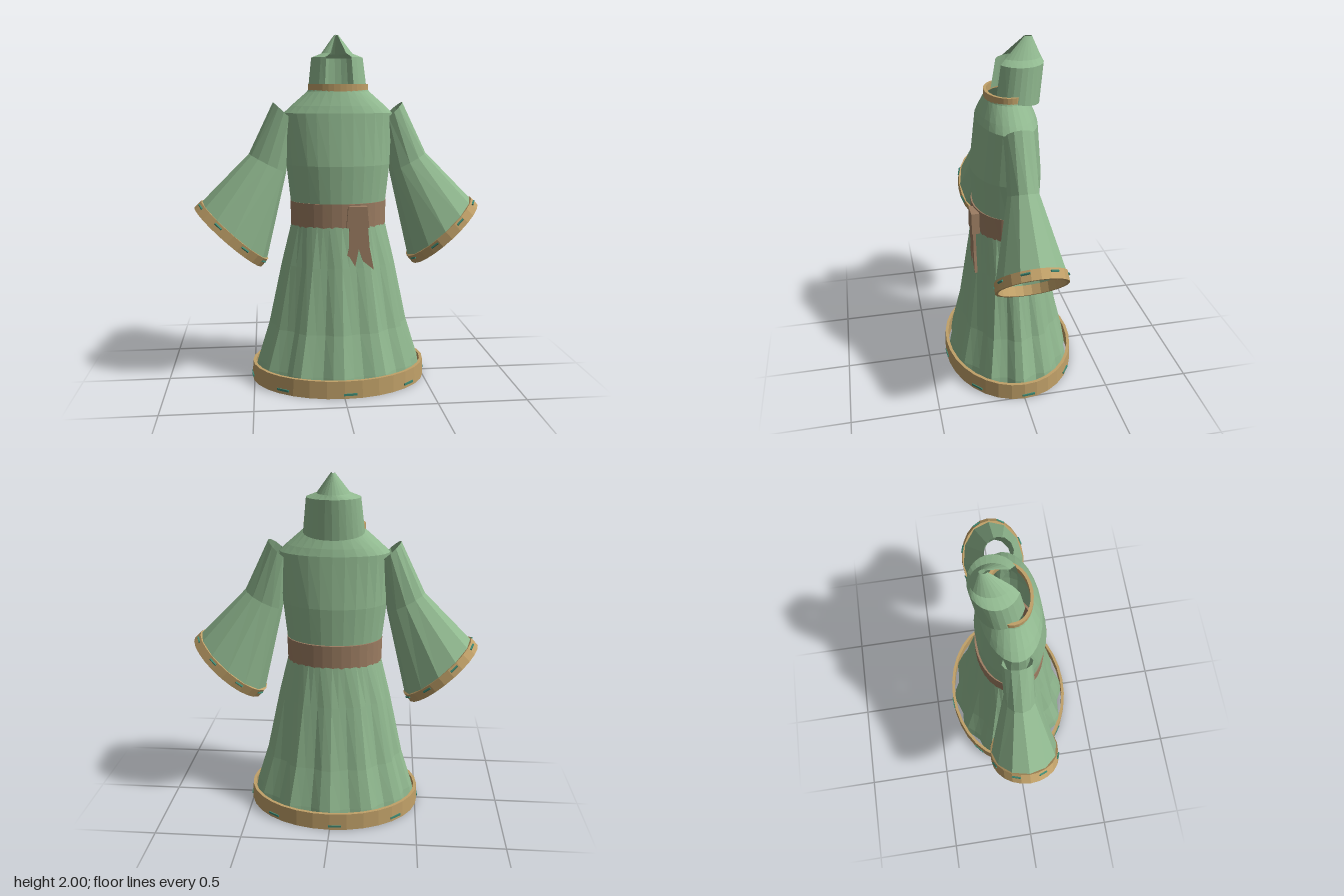
import * as THREE from 'three';

const mat = (name, color) => {
  const m = new THREE.MeshStandardMaterial({ color, flatShading: true, side: THREE.DoubleSide });
  m.name = name;
  return m;
};

// Skin a list of rings; each ring maps an angle to a point.
function loft(rings, n, a0 = 0, a1 = Math.PI * 2) {
  const pos = [], idx = [];
  rings.forEach((ring) => {
    for (let i = 0; i <= n; i++) pos.push(...ring(a0 + ((a1 - a0) * i) / n));
  });
  for (let r = 0; r < rings.length - 1; r++) {
    for (let i = 0; i < n; i++) {
      const a = r * (n + 1) + i, b = a + n + 1;
      idx.push(a, a + 1, b, a + 1, b + 1, b);
    }
  }
  const g = new THREE.BufferGeometry();
  g.setAttribute('position', new THREE.Float32BufferAttribute(pos, 3));
  g.setIndex(idx);
  const flat = g.toNonIndexed();
  flat.computeVertexNormals();
  return flat;
}

// Horizontal ellipse; angle 0 faces the front (+z). Folds pull the radius in.
const oval = (y, rx, rz, cz = 0, fold = 0, tilt = 0) => (a) => {
  const k = 1 - fold * (0.5 - 0.5 * Math.cos(12 * a + 0.4));
  const z = cz + rz * k * Math.cos(a);
  return [rx * k * Math.sin(a), y + tilt * z, z];
};

// Closed band with an outer and an inner wall.
const band = (y0, y1, rx0, rz0, rx1, rz1, t, cz = 0) => loft([
  oval(y0, rx0, rz0, cz), oval(y1, rx1, rz1, cz),
  oval(y1, rx1 - t, rz1 - t, cz), oval(y0, rx0 - t, rz0 - t, cz),
  oval(y0, rx0, rz0, cz),
], 32);

export function createModel() {
  const green = mat('greenCloth', 0x90b88f);
  const gold = mat('goldTrim', 0xc0a068);
  const brown = mat('brownSash', 0x9c7d62);
  const teal = mat('tealStitch', 0x3f8a74);
  const model = new THREE.Group();
  model.name = 'robe';
  const add = (parent, name, geo, material) => {
    const m = new THREE.Mesh(geo, material);
    m.name = name;
    parent.add(m);
    return m;
  };

  // Skirt with folds that fade out towards the waist
  add(model, 'skirt', loft([
    oval(0.015, 0.497, 0.378, 0, 0.09),
    oval(0.1, 0.482, 0.362, 0, 0.09),
    oval(0.33, 0.41, 0.305, 0, 0.08),
    oval(0.7, 0.33, 0.24, 0.005, 0.05),
    oval(0.94, 0.27, 0.198, 0.008),
  ], 48), green);

  // Bodice and shoulders, open at the neck
  add(model, 'bodice', loft([
    oval(0.94, 0.265, 0.19, 0.008),
    oval(1.06, 0.275, 0.19, 0.01),
    oval(1.27, 0.298, 0.197, 0.012),
    oval(1.56, 0.31, 0.165, 0.008),
    oval(1.60, 0.268, 0.152, 0.008),
    oval(1.68, 0.176, 0.118, 0.008),
    oval(1.70, 0.165, 0.112, 0.008),
  ], 28), green);

  add(model, 'collarTrim', band(1.68, 1.72, 0.172, 0.12, 0.172, 0.12, 0.016, 0.006), gold);
  add(model, 'hemTrim', band(0, 0.1, 0.512, 0.392, 0.508, 0.388, 0.018), gold);
  add(model, 'belt', band(0.92, 1.06, 0.274, 0.2, 0.277, 0.2, 0.02, 0.008), brown);

  // Hood: a pointed shell with a wedge left open at the front
  add(model, 'hood', loft([
    oval(1.685, 0.17, 0.133, -0.043, 0, 0.18),
    oval(1.87, 0.148, 0.13, -0.067),
    oval(1.893, 0.09, 0.107, -0.077),
    oval(2.0, 0.012, 0.022, -0.113),
  ], 22, 0.5, Math.PI * 2 - 0.5), green);

  // Stitches around the hem
  for (let i = 0; i < 8; i++) {
    const a = (i * Math.PI) / 4 + 0.06;
    const s = add(model, 'hemStitch', new THREE.BoxGeometry(0.075, 0.012, 0.009), teal);
    s.position.set(0.51 * Math.sin(a), 0.024, 0.39 * Math.cos(a));
    s.rotation.y = Math.atan2(Math.sin(a) * 0.39, Math.cos(a) * 0.51);
  }

  // Sash knot and its forked tail
  const knot = new THREE.Shape([[0.035, 1.05], [0.14, 1.05], [0.152, 0.93], [0.025, 0.93]]
    .map((p) => new THREE.Vector2(...p)));
  const knotMesh = add(model, 'sashKnot',
    new THREE.ExtrudeGeometry(knot, { depth: 0.045, bevelEnabled: false }), brown);
  knotMesh.position.z = 0.187;
  const tail = new THREE.Shape([[0.04, 0.94], [0.145, 0.94], [0.155, 0.82], [0.18, 0.69],
    [0.118, 0.74], [0.094, 0.81], [0.075, 0.71], [0.05, 0.735], [0.015, 0.715], [0.04, 0.82]]
    .map((p) => new THREE.Vector2(...p)));
  const tailMesh = add(model, 'sashTail',
    new THREE.ExtrudeGeometry(tail, { depth: 0.016, bevelEnabled: false }), brown);
  tailMesh.position.z = 0.21;

  // Flared sleeves: rings given by centre, half-axis in the xy plane, half-width in z
  const cuffRing = (d, k) => tilted(0.618 + 0.677 * d, 0.868 - 0.735 * d, 0.188 * k, 0.174 * k, 0.192 * k);
  const tilted = (cx, cy, ux, uy, rz) => (a) =>
    [cx + ux * Math.cos(a), cy + uy * Math.cos(a), rz * Math.sin(a)];
  for (const side of [1, -1]) {
    const sleeve = new THREE.Group();
    sleeve.name = side > 0 ? 'leftSleeve' : 'rightSleeve';
    sleeve.scale.x = side;
    model.add(sleeve);
    add(sleeve, 'sleeveCloth', loft([
      tilted(0.31, 1.565, 0.06, 0.055, 0.08),
      tilted(0.405, 1.275, 0.105, 0.055, 0.085),
      cuffRing(-0.03, 0.97),
      cuffRing(0.02, 0.985),
    ], 12), green);
    add(sleeve, 'cuffTrim', loft([
      cuffRing(-0.03, 1), cuffRing(0.026, 1.01), cuffRing(0.026, 0.93),
      cuffRing(-0.03, 0.93), cuffRing(-0.03, 1),
    ], 24), gold);
    // Stitches around the cuff
    for (let i = 0; i < 8; i++) {
      const a = (i * Math.PI) / 4 + 0.39;
      const p = new THREE.Vector3(...cuffRing(-0.012, 1.005)(a));
      const q = new THREE.Vector3(...cuffRing(-0.012, 1.005)(a + 0.05));
      const s = add(sleeve, 'cuffStitch', new THREE.BoxGeometry(0.009, 0.009, 0.05), teal);
      s.position.copy(p);
      s.quaternion.setFromUnitVectors(new THREE.Vector3(0, 0, 1), q.sub(p).normalize());
    }
  }
  return model;
}
